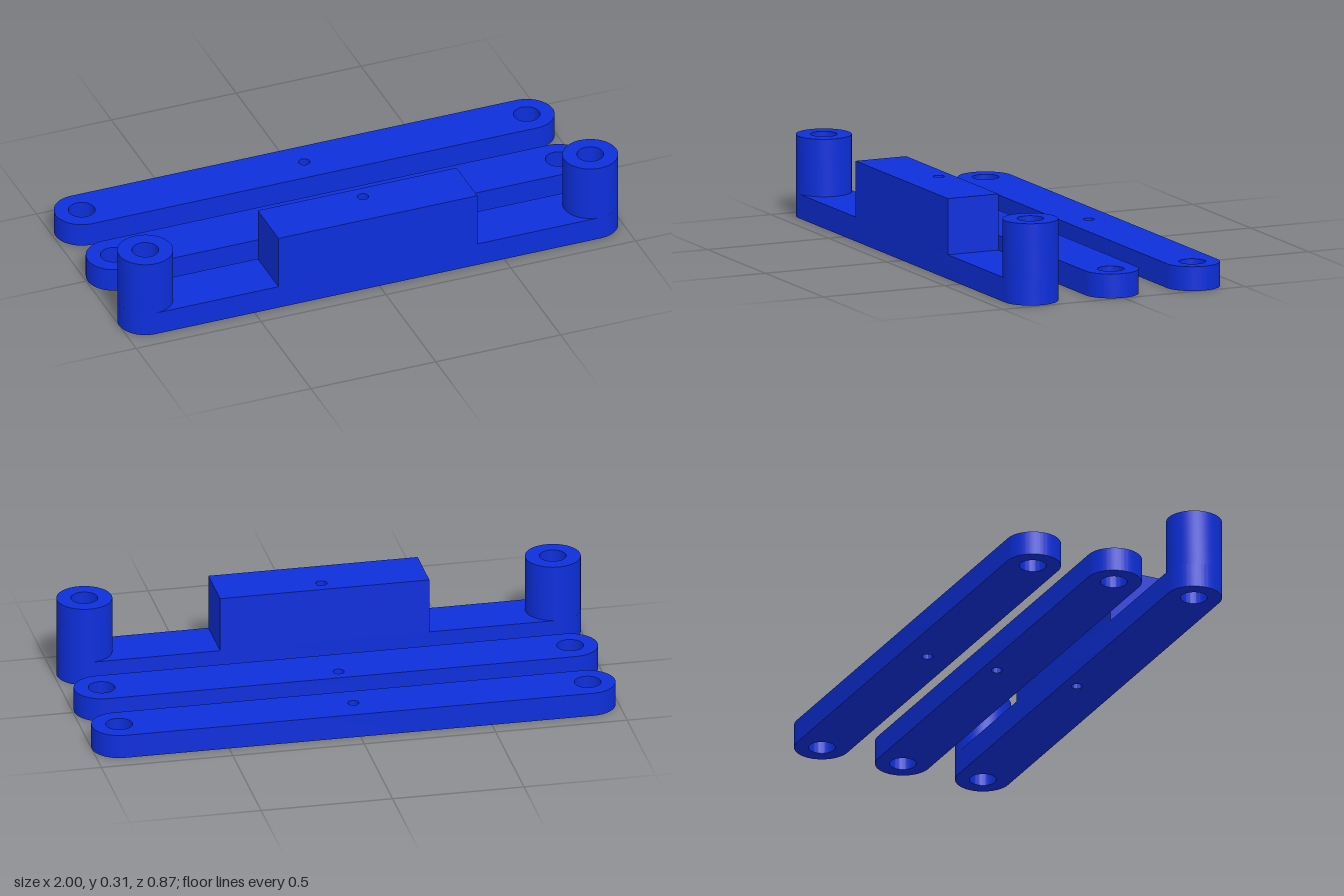
import * as THREE from 'three';
import { toCreasedNormals } from 'three/addons/utils/BufferGeometryUtils.js';

const R = 0.104;        // half width of a bar
const REACH = 0.891;    // distance of the end holes from the bar centre
const BORE = 0.05;      // end hole radius
const PIN = 0.021;      // small hole radius
const BAR_H = 0.092;

// Extrude a plan outline upward from y0 to y1, cutting round holes [x, z, r]
function plate(name, outline, holes, y0, y1, material) {
  for (const [x, z, r] of holes) {
    outline.holes.push(new THREE.Path().absarc(x, -z, r, 0, Math.PI * 2, true));
  }
  const extruded = new THREE.ExtrudeGeometry(outline, { depth: y1 - y0, bevelEnabled: false, curveSegments: 28 });
  extruded.rotateX(-Math.PI / 2).translate(0, y0, 0);
  const mesh = new THREE.Mesh(toCreasedNormals(extruded, 0.6), material);
  mesh.name = name;
  return mesh;
}

// Outline with two rounded ends
function slotOutline() {
  const s = new THREE.Shape();
  s.absarc(REACH, 0, R, -Math.PI / 2, Math.PI / 2, false);
  s.absarc(-REACH, 0, R, Math.PI / 2, Math.PI * 1.5, false);
  s.closePath();
  return s;
}

function rectOutline(x0, x1, z) {
  return new THREE.Shape([[x0, -z], [x1, -z], [x1, z], [x0, z]].map(([x, y]) => new THREE.Vector2(x, y)));
}

export function createModel() {
  const blue = new THREE.MeshStandardMaterial({ color: 0x0d2fdc });
  blue.name = 'blue';
  const model = new THREE.Group();
  model.name = 'linkBars';

  // Three flat bars: name, centre x, centre z, small hole z relative to the bar
  const bars = [
    ['backBar', 0.005, -0.331, 0],
    ['middleBar', 0, 0.002, -0.048],
    ['frontBar', -0.005, 0.331, -0.048],
  ];
  for (const [name, x, z, pinZ] of bars) {
    const bar = new THREE.Group();
    bar.name = name;
    bar.position.set(x, 0, z);
    const holes = [[-REACH, 0, BORE], [REACH, 0, BORE], [0, pinZ, PIN]];
    bar.add(plate(name + 'Plate', slotOutline(), holes, 0, BAR_H, blue));

    // The front bar carries a raised block and two hollow end posts
    if (name === 'frontBar') {
      bar.add(plate('raisedBlock', rectOutline(-0.399, 0.397, R), [[0, pinZ, PIN]], BAR_H, 0.305, blue));
      for (const side of [-1, 1]) {
        const ring = new THREE.Shape().absarc(side * REACH, 0, R, 0, Math.PI * 2, false);
        bar.add(plate(side < 0 ? 'rightPost' : 'leftPost', ring, [[side * REACH, 0, BORE]], BAR_H, 0.31, blue));
      }
    }
    model.add(bar);
  }
  return model;
}
